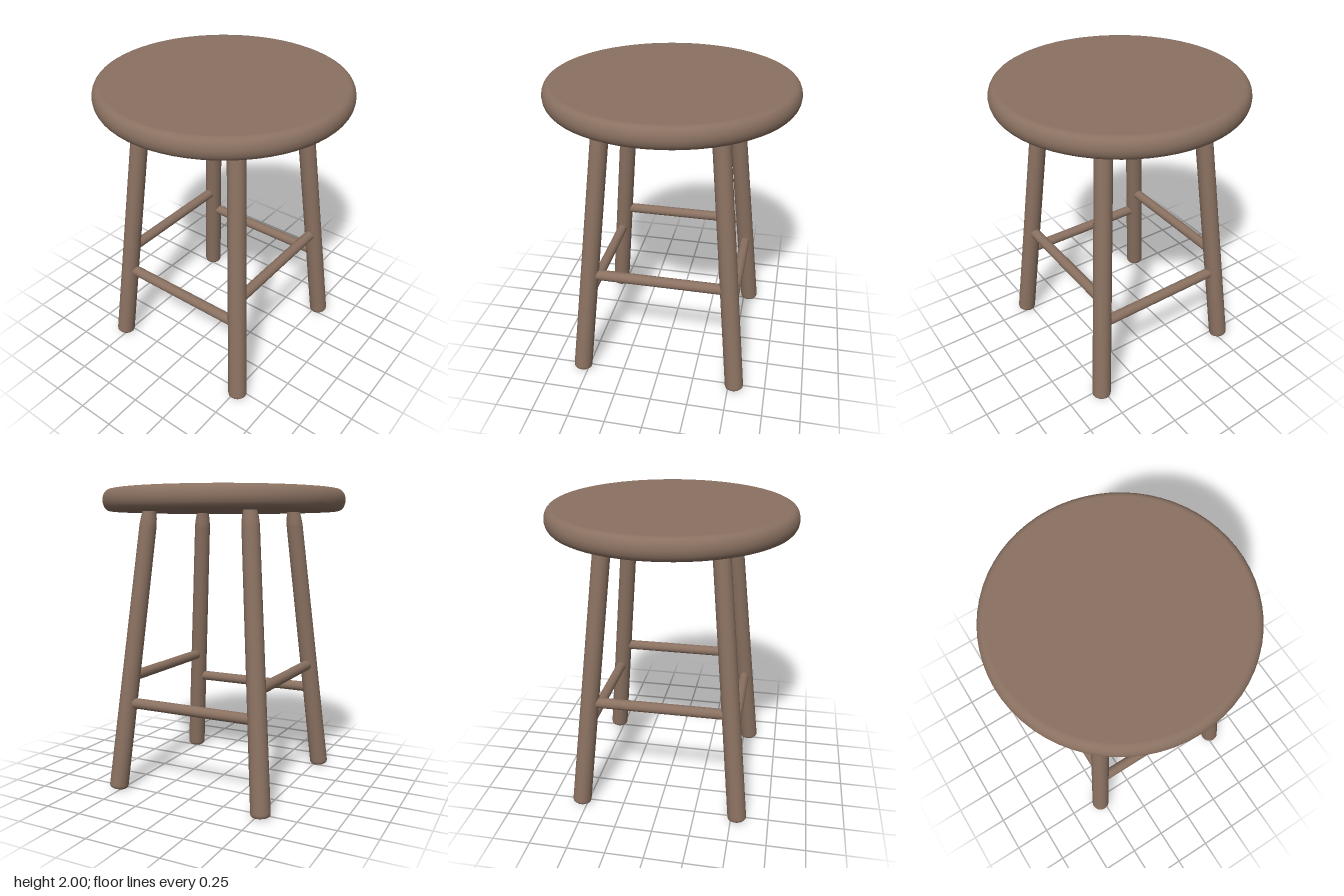
import * as THREE from 'three';

const V3 = (x, y, z) => new THREE.Vector3(x, y, z);

// Lathe from [radius, height] pairs
const lathe = (pts, sides) =>
  new THREE.LatheGeometry(pts.map(([r, y]) => new THREE.Vector2(r, y)), sides);

export function createModel() {
  const stool = new THREE.Group();
  stool.name = 'stool';
  const wood = new THREE.MeshStandardMaterial({ color: 0x8a7161 });
  wood.name = 'brown wood';

  const add = (name, geometry) => {
    const mesh = new THREE.Mesh(geometry, wood);
    mesh.name = name;
    stool.add(mesh);
    return mesh;
  };

  // Turn a part built along +y so that it runs from a to b
  const place = (mesh, a, b) => {
    mesh.position.copy(a);
    mesh.quaternion.setFromUnitVectors(V3(0, 1, 0), b.clone().sub(a).normalize());
  };

  // Round seat with a bulging rim; close point pairs keep the flat faces flat
  const rim = [];
  for (let i = 0; i <= 12; i++) {
    const t = -Math.PI / 2 + (Math.PI * i) / 12;
    rim.push([0.755 + 0.05 * Math.cos(t), 1.93 + 0.07 * Math.sin(t)]);
  }
  add('seat', lathe([[0, 1.86], [0.75, 1.86], ...rim, [0.75, 2], [0, 2]], 64));

  // Splayed legs: bevelled foot, slight taper, narrowed neck going into the seat
  const foot = V3(0.527, 0.009, 0.542);
  const neck = V3(0.356, 1.9, 0.355);
  const length = foot.distanceTo(neck);
  const legProfile = [
    [0, 0], [0.05, 0], [0.053, 0], [0.061, 0.008], [0.063, 0.02], [0.063, 0.03],
    [0.056, length - 0.14], [0.055, length - 0.12], [0.051, length - 0.08],
    [0.044, length - 0.04], [0.042, length], [0, length],
  ];
  const legGeometry = lathe(legProfile, 28);
  for (const sx of [1, -1]) {
    for (const sz of [1, -1]) {
      const side = V3(sx, 1, sz);
      const leg = add(`${sz > 0 ? 'front' : 'back'}${sx > 0 ? 'Left' : 'Right'}Leg`, legGeometry);
      place(leg, foot.clone().multiply(side), neck.clone().multiply(side));
    }
  }

  // Stretchers joining leg axes: low at front and back, higher at the sides
  const axisAt = (y) => foot.clone().lerp(neck, (y - foot.y) / (neck.y - foot.y));
  const low = axisAt(0.595);
  const high = axisAt(0.77);
  const rod = (name, span) => add(name, new THREE.CylinderGeometry(0.035, 0.035, span, 20));
  for (const s of [1, -1]) {
    const cross = rod(s > 0 ? 'frontStretcher' : 'backStretcher', low.x * 2);
    cross.rotation.z = Math.PI / 2;
    cross.position.set(0, low.y, s * low.z);

    const side = rod(s > 0 ? 'leftStretcher' : 'rightStretcher', high.z * 2);
    side.rotation.x = Math.PI / 2;
    side.position.set(s * high.x, high.y, 0);
  }
  return stool;
}
